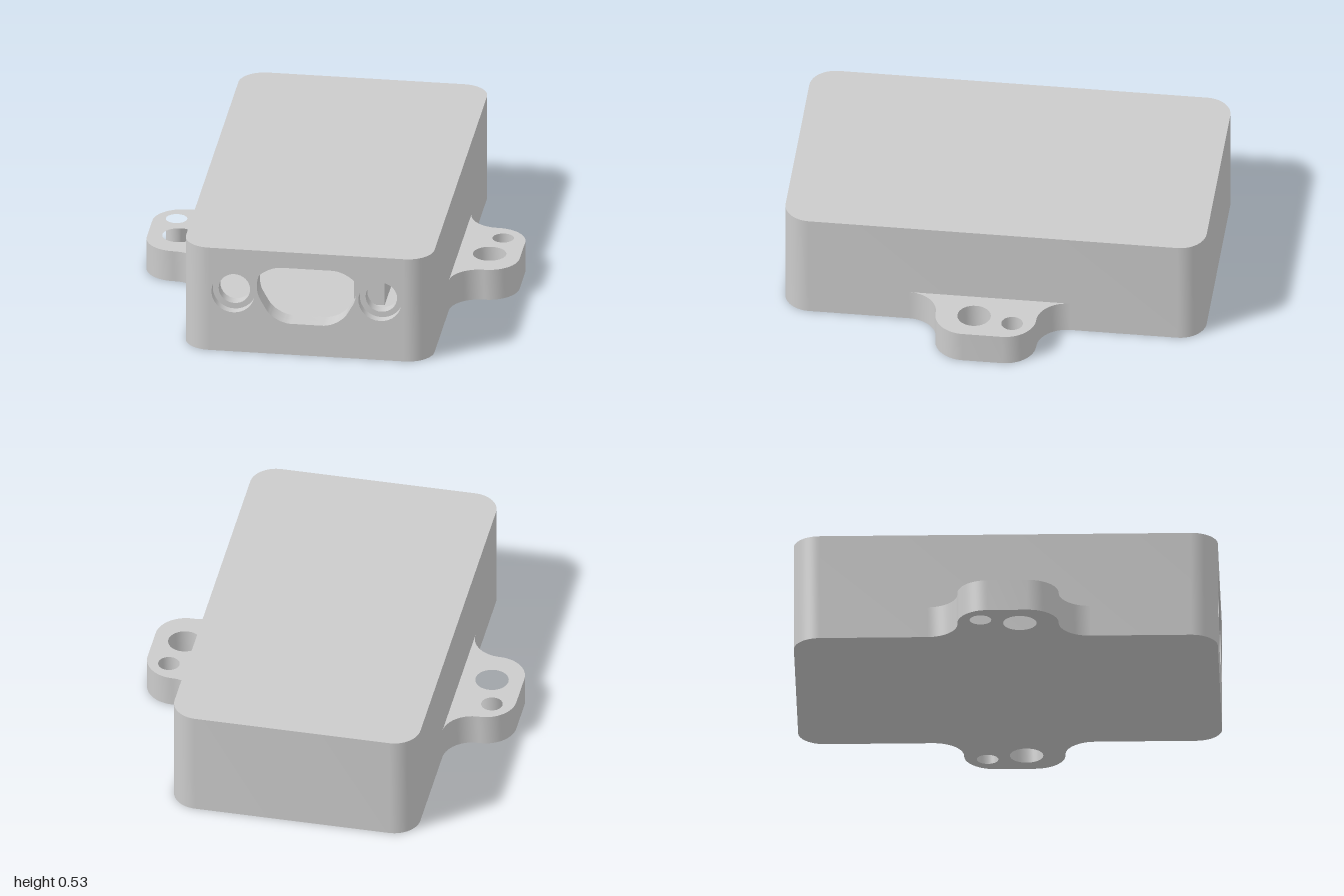
import * as THREE from 'three';
import { toCreasedNormals } from 'three/addons/utils/BufferGeometryUtils.js';

const W = 0.592, H = 0.53, R = 0.125; // body half width, height, corner radius
const IN = 0.49, WALL = 0.1, FLOOR = 0.1, CEIL = 0.43;
const material = new THREE.MeshStandardMaterial({ color: 0xcccccc });

// Shape through corner points [x, y, radius], each rounded by a quarter-arc style curve
function roundedShape(points) {
  const shape = new THREE.Shape();
  const n = points.length;
  points.forEach(([x, y, r = 0], i) => {
    const towards = ([px, py], d) => {
      const len = Math.hypot(px - x, py - y);
      return [x + (px - x) * d / len, y + (py - y) * d / len];
    };
    const prev = points[(i + n - 1) % n], next = points[(i + 1) % n];
    const a = towards(prev, r), b = towards(next, r);
    if (i === 0) shape.moveTo(...a); else shape.lineTo(...a);
    if (r > 0) shape.bezierCurveTo(...towards(prev, r * 0.448), ...towards(next, r * 0.448), ...b);
  });
  shape.closePath();
  return shape;
}

function circle(x, y, r) {
  return new THREE.Path().absarc(x, y, r, 0, Math.PI * 2, true);
}

function part(name, geometry) {
  const mesh = new THREE.Mesh(toCreasedNormals(geometry, 0.5), material);
  mesh.name = name;
  return mesh;
}

function extrude(shape, depth) {
  return new THREE.ExtrudeGeometry(shape, { depth, bevelEnabled: false, curveSegments: 16 });
}

// Plan outline (x, z) raised from y0 to y1
function raised(name, shape, y0, y1) {
  return part(name, extrude(shape, y1 - y0).rotateX(Math.PI / 2).translate(0, y1, 0));
}

// Front plate layer with port opening and two screw holes
function frontLayer(name, z0, z1, holeRadius) {
  const x = W - R;
  const plate = roundedShape([[-x, 0], [x, 0], [x, H], [-x, H]]);
  plate.holes.push(roundedShape([
    [-0.155, 0.16, 0.08], [0.155, 0.16, 0.08], [0.262, 0.35, 0.085],
    [0.2, 0.448, 0.08], [-0.2, 0.448, 0.08], [-0.262, 0.35, 0.085],
  ]));
  for (const s of [-1, 1]) plate.holes.push(circle(s * 0.35, 0.305, holeRadius));
  return part(name, extrude(plate, z1 - z0).translate(0, 0, z0));
}

export function createModel() {
  const model = new THREE.Group();
  model.name = 'enclosure';

  // Side and back walls, open at the front between the rounded corners
  const f = W - R;
  model.add(raised('sideAndBackWalls', roundedShape([
    [-W, 1, R], [-W, -1, R], [W, -1, R], [W, 1, R], [f, 1], [f, 1 - WALL],
    [IN, 1 - WALL], [IN, -1 + WALL, 0.1], [-IN, -1 + WALL, 0.1], [-IN, 1 - WALL], [-f, 1 - WALL], [-f, 1],
  ]), 0, H));

  // Floor and roof panels filling the wall ring
  const inner = roundedShape([
    [-IN, 1 - WALL], [-IN, -1 + WALL, 0.1], [IN, -1 + WALL, 0.1], [IN, 1 - WALL],
  ]);
  model.add(raised('floor', inner, 0, FLOOR), raised('roof', inner, CEIL, H));

  // Front plate in two layers, giving counterbored screw holes
  model.add(frontLayer('frontPlateInner', 1 - WALL, 0.955, 0.075));
  model.add(frontLayer('frontPlateOuter', 0.955, 1, 0.103));

  // Inner divider with a filleted foot at the back wall
  const rib = new THREE.Shape();
  rib.moveTo(0.17, 0.6);
  rib.lineTo(0.17, -0.9);
  rib.lineTo(0.42, -0.9);
  rib.bezierCurveTo(0.36, -0.9, 0.315, -0.85, 0.315, -0.79);
  rib.lineTo(0.315, 0.6);
  model.add(raised('innerDivider', rib, FLOOR, CEIL));

  // Mounting ears with concave blends into the body
  for (const s of [-1, 1]) {
    const ear = roundedShape([
      [s * W, -0.368], [s * W, -0.223, 0.144], [s * 0.888, -0.223, 0.146],
      [s * 0.888, 0.255, 0.146], [s * W, 0.255, 0.144], [s * W, 0.4],
    ]);
    ear.holes.push(circle(s * 0.778, -0.113, 0.051), circle(s * 0.74, 0.072, 0.079));
    model.add(raised(s > 0 ? 'leftMountingEar' : 'rightMountingEar', ear, 0, 0.155));
  }
  return model;
}
